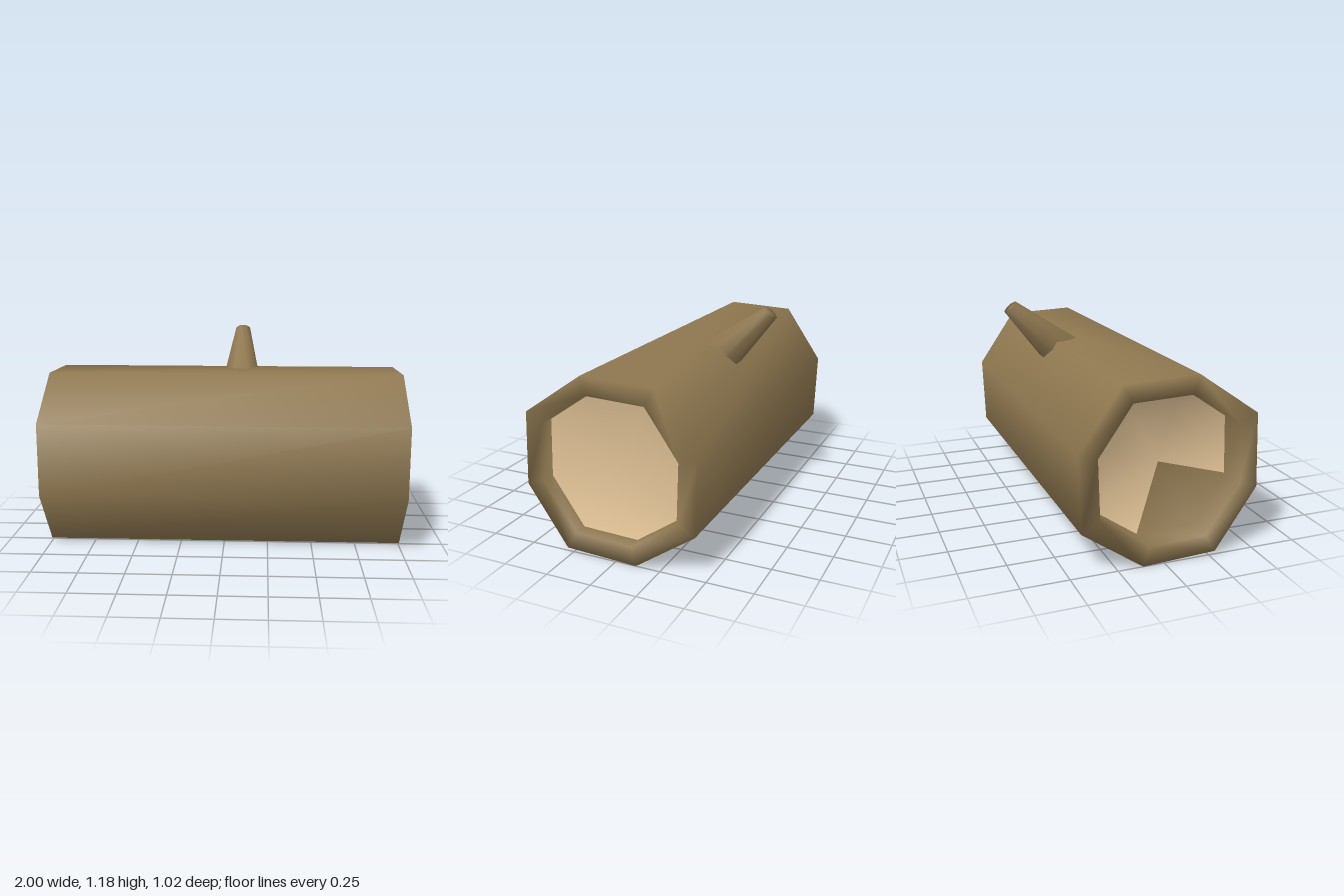
import * as THREE from 'three';

// Skin a list of rings with shared vertices, so shading is smooth across edges.
// Returns the geometry with separate face lists for the first and last caps.
function loft(rings, turn = 0) {
  const n = rings[0].length;
  const pos = rings.flat(2);
  const centre = (ring) => [0, 1, 2].map((k) => ring.reduce((s, p) => s + p[k], 0) / n);
  pos.push(...centre(rings[0]), ...centre(rings[rings.length - 1]));
  const first = rings.length * n, last = first + 1, lastRow = (rings.length - 1) * n;
  const start = [], sides = [], end = [];
  for (let j = 0; j < n; j++) {
    const k = (j + 1) % n;
    start.push(first, k, j);
    const e = (j + turn) % n;
    end.push(last, lastRow + e, lastRow + (e + 1) % n);
    for (let i = 0; i < rings.length - 1; i++) {
      const a = i * n + j, b = i * n + k;
      sides.push(a, b, a + n, b, b + n, a + n);
    }
  }
  const geometry = new THREE.BufferGeometry();
  geometry.setAttribute('position', new THREE.Float32BufferAttribute(pos, 3));
  geometry.setIndex([...start, ...sides, ...end]);
  geometry.computeVertexNormals();
  return { geometry, counts: [start.length, sides.length, end.length] };
}

export function createModel() {
  const model = new THREE.Group();
  model.name = 'hollowLog';

  const bark = new THREE.MeshStandardMaterial({ color: 0x8f7850 });
  bark.name = 'bark';
  const wood = new THREE.MeshStandardMaterial({ color: 0xe0c296 });
  wood.name = 'paleWood';

  // Trunk cross-sections as [z, y]
  const outer = [[0.165, 0.97], [-0.235, 0.955], [-0.457, 0.63], [-0.442, 0.23],
    [-0.115, 0.003], [0.285, 0.02], [0.51, 0.345], [0.495, 0.742]];
  const inner = [[0.14, 0.87], [-0.18, 0.858], [-0.357, 0.603], [-0.345, 0.285],
    [-0.085, 0.105], [0.23, 0.116], [0.41, 0.375], [0.4, 0.69]];
  const ring = (x, profile) => profile.map(([z, y]) => [x, y, z]);

  // Trunk: recessed end, rim, bark, rim, deeper recessed end
  const { geometry, counts } = loft([
    ring(0.92, inner), ring(1, inner), ring(1, outer),
    ring(-1, outer), ring(-1, inner), ring(-0.84, inner),
  ], 6);
  const [s, m, e] = counts;
  geometry.addGroup(0, s, 1);
  geometry.addGroup(s, m, 0);
  geometry.addGroup(s + m, e - 6, 1);
  geometry.addGroup(s + m + e - 6, 6, 0); // two bark-coloured wedges
  const trunk = new THREE.Mesh(geometry, [bark, wood]);
  trunk.name = 'trunk';
  model.add(trunk);

  // Branch stub: tapered, slanting up and back
  const oval = (y, z, halfWidth, vy, vz) => Array.from({ length: 8 }, (_, i) => {
    const t = ((i + 0.5) / 8) * Math.PI * 2, k = 1 / Math.cos(Math.PI / 8);
    return [0.087 + Math.cos(t) * halfWidth * k, y + Math.sin(t) * vy * k, z + Math.sin(t) * vz * k];
  });
  const stub = loft([
    oval(1.157, -0.478, 0.043, 0.0275, 0.0325),
    oval(0.86, -0.147, 0.112, 0.06, 0.107),
  ]);
  const branch = new THREE.Mesh(stub.geometry, bark);
  branch.name = 'branchStub';
  model.add(branch);

  return model;
}
